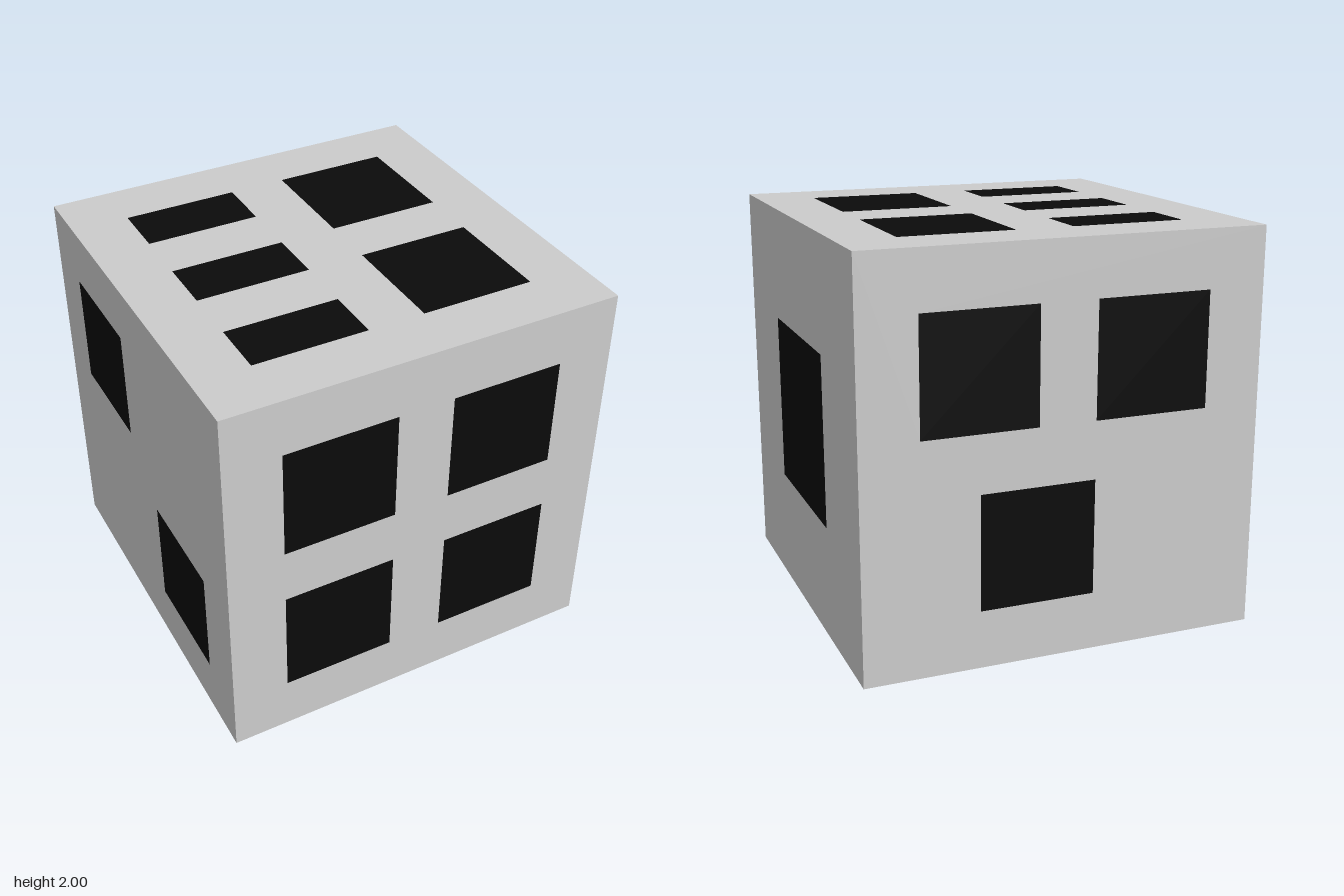
import * as THREE from 'three';

const U = 1 / 7; // grid unit: the cube is 14 units wide

const bodyMaterial = new THREE.MeshStandardMaterial({ color: 0xcccccc });
const pipMaterial = new THREE.MeshStandardMaterial({ color: 0x0a0a0a });

// Each face: orientation, then pips as [centre u, centre v, width, height] in grid units,
// seen from outside with u to the right and v up
const FACES = [
  { name: 'front', rot: [0, 0, 0],
    pips: [[-3, 3, 4, 4], [3, 3, 4, 4], [-3, -3, 4, 4], [3, -3, 4, 4]] },
  { name: 'back', rot: [0, Math.PI, 0],
    pips: [[-3, 3, 4, 4], [3, 3, 4, 4], [-1, -3, 4, 4]] },
  { name: 'left', rot: [0, Math.PI / 2, 0],
    pips: [[0, 0, 6, 6]] },
  { name: 'right', rot: [0, -Math.PI / 2, 0],
    pips: [[-3, 3, 4, 4], [3, -3, 4, 4]] },
  { name: 'top', rot: [-Math.PI / 2, 0, 0],
    pips: [[-3, 4, 4, 2], [-3, 0, 4, 2], [-3, -4, 4, 2], [3, 3, 4, 4], [3, -3, 4, 4]] },
  { name: 'bottom', rot: [Math.PI / 2, 0, 0],
    pips: [-3, 3].flatMap(u => [-4, 0, 4].map(v => [u, v, 4, 2])) },
];

// Rectangle outline around a centre, in grid units
function rectangle([u, v, w, h]) {
  const corners = [[-1, -1], [1, -1], [1, 1], [-1, 1]];
  return corners.map(([a, b]) => new THREE.Vector2((u + a * w / 2) * U, (v + b * h / 2) * U));
}

function flatMesh(shape, material, name) {
  const mesh = new THREE.Mesh(new THREE.ShapeGeometry(shape), material);
  mesh.name = name;
  mesh.position.z = 1;
  return mesh;
}

// One side of the die: a panel with openings, filled flush by the pips
function createFace({ name, rot, pips }) {
  const face = new THREE.Group();
  face.name = name + 'Face';
  const panel = new THREE.Shape(rectangle([0, 0, 14, 14]));
  pips.forEach((pip, i) => {
    const outline = rectangle(pip);
    panel.holes.push(new THREE.Path([...outline].reverse()));
    face.add(flatMesh(new THREE.Shape(outline), pipMaterial, `${name}Pip${i + 1}`));
  });
  face.add(flatMesh(panel, bodyMaterial, name + 'Panel'));
  face.rotation.set(...rot);
  face.position.y = 1;
  return face;
}

export function createModel() {
  const die = new THREE.Group();
  die.name = 'die';
  FACES.forEach(face => die.add(createFace(face)));
  return die;
}
